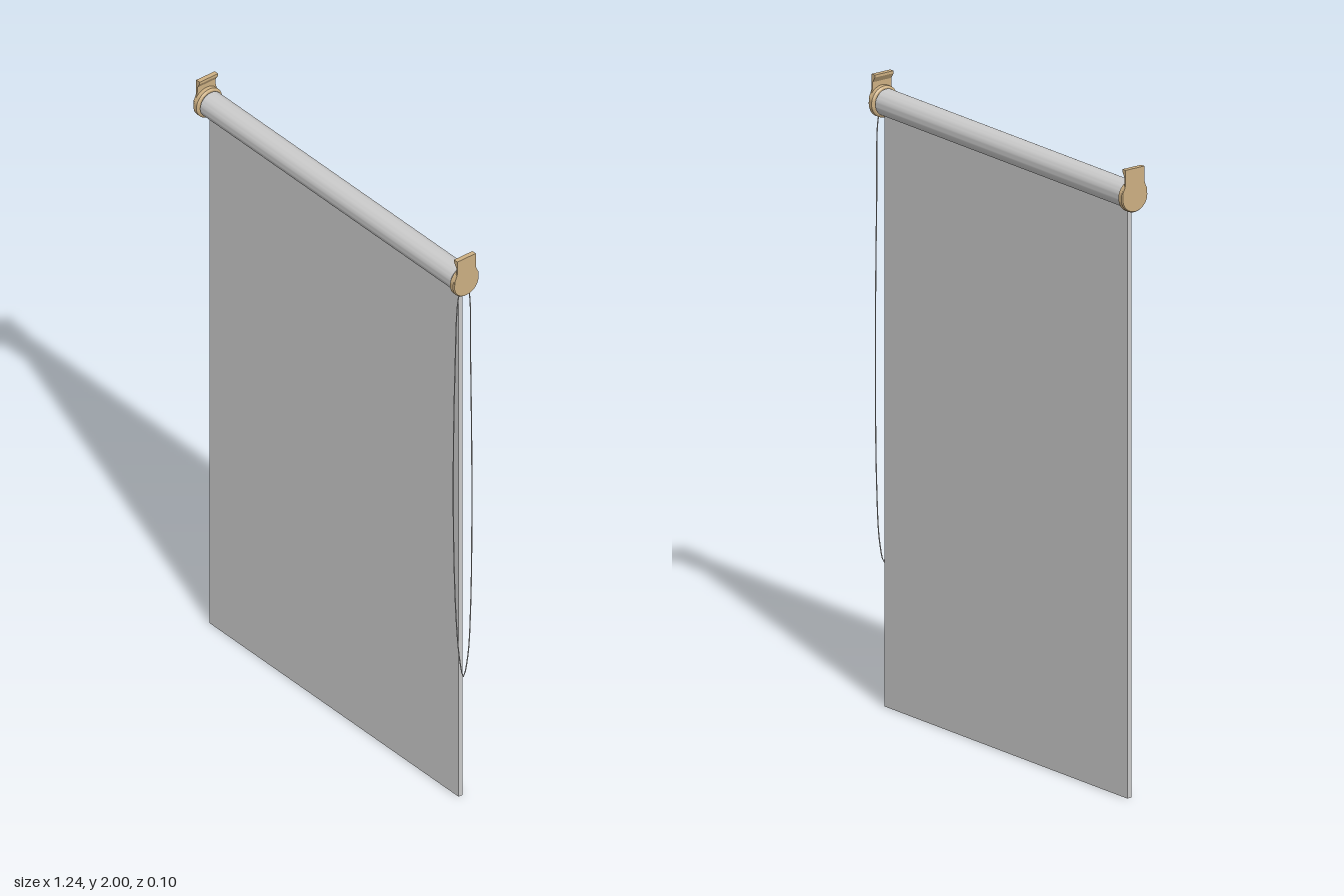
import * as THREE from 'three';
import { toCreasedNormals } from 'three/addons/utils/BufferGeometryUtils.js';

const AXIS_Y = 1.91; // height of the roller axis

function material(color) {
  return new THREE.MeshStandardMaterial({ color, side: THREE.DoubleSide });
}

function part(name, geometry, mat) {
  const mesh = new THREE.Mesh(geometry, mat);
  mesh.name = name;
  return mesh;
}

// Turned solid along x from [radius, x] pairs
function turned(points, segments) {
  const profile = points.map(([r, x]) => new THREE.Vector2(r, x));
  const geometry = new THREE.LatheGeometry(profile, segments);
  geometry.rotateZ(-Math.PI / 2);
  return toCreasedNormals(geometry, 0.5);
}

// Right-hand (+x) end bracket; the other is turned half round
function createBracket(mat) {
  const bracket = new THREE.Group();

  // Round cap with chamfered rims
  const cap = part('bracketCap', turned([
    [0, 0.598], [0.044, 0.598], [0.05, 0.602], [0.05, 0.616], [0.047, 0.62], [0, 0.62],
  ], 40), mat);
  cap.position.y = AXIS_Y;

  // Neck plate flaring into the cap, drawn in z/y and extruded along x
  const outline = new THREE.Shape();
  outline.moveTo(-0.036, 2);
  outline.lineTo(-0.036, 1.957);
  outline.quadraticCurveTo(-0.037, 1.945, -0.046, 1.93);
  outline.lineTo(-0.046, AXIS_Y);
  outline.lineTo(0.046, AXIS_Y);
  outline.lineTo(0.046, 1.93);
  outline.quadraticCurveTo(0.037, 1.945, 0.036, 1.957);
  outline.lineTo(0.036, 2);
  const plate = new THREE.ExtrudeGeometry(outline, { depth: 0.005, bevelEnabled: false });
  plate.rotateY(Math.PI / 2).translate(0.615, 0, 0);

  // Top mounting lip with a sloped underside
  const lipSection = new THREE.Shape([
    new THREE.Vector2(0.618, 2), new THREE.Vector2(0.604, 2),
    new THREE.Vector2(0.604, 1.992), new THREE.Vector2(0.618, 1.97),
  ]);
  const lip = new THREE.ExtrudeGeometry(lipSection, { depth: 0.072, bevelEnabled: false });
  lip.translate(0, 0, -0.036);

  bracket.add(cap, part('bracketPlate', plate, mat), part('bracketLip', lip, mat));
  return bracket;
}

export function createModel() {
  const group = new THREE.Group();
  const grey = material(0xcccccc);
  const tan = material(0xcdb083);

  // Roller tube with softened ends
  const roller = part('rollerTube', turned([
    [0, -0.6], [0.036, -0.6], [0.042, -0.594], [0.042, 0.594], [0.036, 0.6], [0, 0.6],
  ], 48), grey);
  roller.position.y = AXIS_Y;
  group.add(roller);

  // Hanging fabric
  const fabric = part('fabric', new THREE.BoxGeometry(1.184, 1.89, 0.016), grey);
  fabric.position.y = 0.945;
  group.add(fabric);

  // End brackets
  for (const side of [1, -1]) {
    const bracket = createBracket(tan);
    bracket.name = side > 0 ? 'leftBracket' : 'rightBracket';
    if (side < 0) bracket.rotation.y = Math.PI;
    group.add(bracket);
  }

  // Pull cord loop, bulging slightly towards the front
  const path = [
    [1.92, 0], [1.86, 0.022], [1.6, 0.036], [1.1, 0.043], [0.7, 0.033], [0.52, 0.018],
    [0.45, 0.003], [0.52, -0.014], [0.7, -0.025], [1.1, -0.03], [1.6, -0.025], [1.86, -0.019],
  ].map(([y, z]) => new THREE.Vector3(0.609, y, z));
  const curve = new THREE.CatmullRomCurve3(path, true);
  group.add(part('pullCord', new THREE.TubeGeometry(curve, 160, 0.0018, 8, true), grey));

  return group;
}
